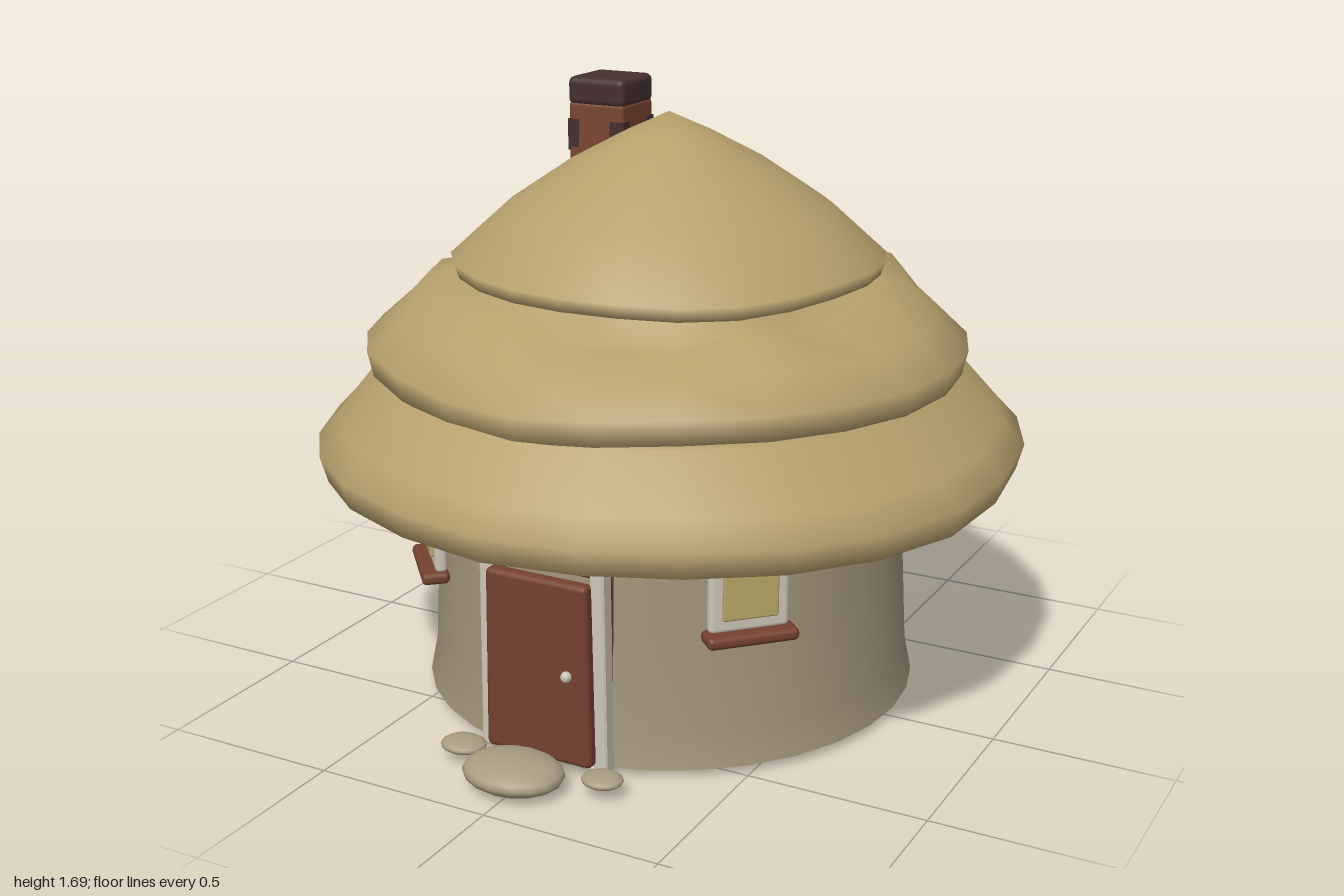
import * as THREE from 'three';
import { mergeVertices } from 'three/addons/utils/BufferGeometryUtils.js';
import { RoundedBoxGeometry } from 'three/addons/geometries/RoundedBoxGeometry.js';

const material = (name, color, side = THREE.FrontSide) => {
  const m = new THREE.MeshStandardMaterial({ color, side });
  m.name = name;
  return m;
};

const V = (r, y) => new THREE.Vector2(r, y);

// Repeatable value in -1..1 for a pair of integers
const noise = (a, b) => {
  const s = Math.sin(a * 12.9898 + b * 78.233) * 43758.5453;
  return (s - Math.floor(s)) * 2 - 1;
};

// Rectangular ring extruded along z
function ringGeometry(w, h, border, bottom, depth) {
  const rect = (P, x, y0, y1) => {
    const p = new P();
    p.moveTo(-x, y0); p.lineTo(x, y0);
    p.lineTo(x * 0.97, y1); p.lineTo(-x * 0.97, y1);
    p.closePath();
    return p;
  };
  const shape = rect(THREE.Shape, w / 2, 0, h);
  shape.holes.push(rect(THREE.Path, w / 2 - border, bottom, h - border));
  return new THREE.ExtrudeGeometry(shape, {
    depth, bevelEnabled: true, bevelSize: 0.005, bevelOffset: -0.005, bevelThickness: 0.005, bevelSegments: 1,
  });
}

// Thatch tier: a soft lathe whose rim sags unevenly; points are [r, y, wave, fold]
function tierGeometry(points, seed) {
  const sides = 24, n = points.length;
  const geo = new THREE.LatheGeometry(points.map(([r, y]) => V(r, y)), sides);
  const pos = geo.attributes.position;
  for (let i = 0; i < pos.count; i++) {
    const j = Math.floor(i / n) % sides;
    const [r, y, wave, fold] = points[i % n];
    const a = (j / sides) * Math.PI * 2;
    const sag = 0.6 * Math.sin(3 * a + seed) + 0.4 * Math.sin(5 * a + seed * 2.3);
    const dent = noise(j, seed);
    const radius = r + 0.008 * wave * noise(j, seed + 7) + 0.03 * fold * dent;
    pos.setXYZ(i, Math.sin(a) * radius, y + 0.016 * wave * sag + 0.045 * fold * dent, Math.cos(a) * radius);
  }
  geo.deleteAttribute('uv');
  geo.deleteAttribute('normal');
  const merged = mergeVertices(geo, 1e-4);
  merged.computeVertexNormals();
  return merged;
}

export function createModel() {
  const model = new THREE.Group();
  model.name = 'roundCottage';
  const thatch = material('thatch', 0xb59f6c, THREE.DoubleSide);
  const plaster = material('plaster', 0xa0937a, THREE.DoubleSide);
  const trim = material('pale trim', 0xcdc5b8);
  const wood = material('red brown wood', 0x74402f);
  const brick = material('brick', 0x7a4631);
  const soot = material('sooty brick', 0x45302f);
  const glass = material('warm glass', 0xb8a768);
  const stone = material('stone', 0xa89c82);

  const add = (parent, name, geo, mat, x = 0, y = 0, z = 0) => {
    const mesh = new THREE.Mesh(geo, mat);
    mesh.name = name;
    mesh.position.set(x, y, z);
    parent.add(mesh);
    return mesh;
  };
  const group = (name) => {
    const g = new THREE.Group();
    g.name = name;
    model.add(g);
    return g;
  };

  // Round wall, flared at the foot and open below
  add(model, 'wall', new THREE.LatheGeometry(
    [V(0.702, 0.03), V(0.682, 0.13), V(0.667, 0.4), V(0.654, 0.7), V(0.645, 0.86)], 32), plaster, 0, 0, -0.012);

  // Three thatch tiers, from the underside round the rim to the top
  const roof = group('roof');
  add(roof, 'lowerThatch', tierGeometry([
    [0.63, 0.755, 0, 0], [0.8, 0.72, 0.5, 0], [0.94, 0.685, 1, 0], [0.975, 0.685, 1, 0],
    [0.995, 0.757, 1, 0], [0.935, 0.82, 1, 0], [0.82, 0.955, 0.4, 0], [0.78, 0.965, 0, 0], [0.66, 0.95, 0, 0],
  ], 2), thatch);
  add(roof, 'middleThatch', tierGeometry([
    [0.64, 0.95, 0, 0], [0.79, 0.965, 1, 0], [0.825, 0.962, 1, 0],
    [0.84, 1.03, 1, 0], [0.75, 1.105, 0.4, 0.15], [0.645, 1.175, 0, 0.8], [0.58, 1.18, 0, 1], [0.5, 1.24, 0, 0],
  ], 5), thatch);
  add(roof, 'topThatch', tierGeometry([
    [0.48, 1.24, 0, 0], [0.56, 1.225, 0.6, 0], [0.588, 1.222, 0.6, 0], [0.6, 1.26, 0.6, 0],
    [0.45, 1.395, 0.2, 0], [0.27, 1.515, 0, 0], [0.12, 1.595, 0, 0], [0, 1.65, 0, 0],
  ], 3), thatch);

  // Chimney with sooty bricks set flush in its faces
  const chimney = group('chimney');
  chimney.position.set(-0.308, 0, -0.222);
  add(chimney, 'chimneyStack', new RoundedBoxGeometry(0.178, 0.4, 0.178, 2, 0.012), brick, 0, 1.43, 0);
  add(chimney, 'chimneyCap', new RoundedBoxGeometry(0.184, 0.082, 0.184, 3, 0.02), soot, 0, 1.66, 0);
  for (let i = 0; i < 4; i++) {
    const face = new THREE.Group();
    face.name = 'sootyBricks';
    face.rotation.y = (i * Math.PI) / 2;
    chimney.add(face);
    add(face, 'sootyBrick', new THREE.BoxGeometry(0.042, 0.09, 0.006), soot, 0.068, 1.535, 0.088);
    add(face, 'sootyBrick', new THREE.BoxGeometry(0.034, 0.08, 0.006), soot, -0.072, 1.54, 0.088);
    add(face, 'sootyBrick', new THREE.BoxGeometry(0.04, 0.05, 0.006), soot, -0.03, 1.46, 0.088);
  }

  // Door with pale surround, wooden jamb and knob
  const door = group('door');
  add(door, 'doorSurround', ringGeometry(0.385, 0.59, 0.042, 0.015, 0.035), trim, 0, 0.03, 0.668);
  add(door, 'doorJamb', ringGeometry(0.35, 0.54, 0.016, 0.016, 0.04), wood, 0, 0.03, 0.625);
  const panel = new RoundedBoxGeometry(0.312, 0.51, 0.044, 3, 0.016);
  const pp = panel.attributes.position;
  for (let i = 0; i < pp.count; i++) {
    const t = pp.getY(i) / 0.255;
    pp.setX(i, pp.getX(i) * (1 - 0.025 * t));
  }
  add(door, 'doorPanel', panel, wood, 0, 0.302, 0.716);
  add(door, 'doorKnob', new THREE.SphereGeometry(0.015, 12, 8), trim, 0.097, 0.305, 0.747);

  // Two windows facing outward beside the door, with the pane standing proud of a soft frame
  for (const [angle, radius] of [[0.8, 0.67], [-0.845, 0.678]]) {
    const win = group(angle > 0 ? 'leftWindow' : 'rightWindow');
    win.rotation.y = angle;
    win.position.set(Math.sin(angle) * radius, 0, Math.cos(angle) * radius);
    add(win, 'windowFrame', new RoundedBoxGeometry(0.22, 0.22, 0.036, 3, 0.016), trim, 0, 0.517, -0.006);
    add(win, 'windowGlass', new RoundedBoxGeometry(0.152, 0.155, 0.024, 2, 0.006), glass, 0, 0.523, 0.01);
    add(win, 'windowSill', new RoundedBoxGeometry(0.25, 0.034, 0.078, 2, 0.014), wood, 0, 0.398, 0.012);
  }

  // Stepping stones before the door
  for (const [x, y, z, rx, ry, rz] of [
    [-0.01, 0.053, 0.84, 0.142, 0.045, 0.112],
    [-0.21, 0.053, 0.77, 0.064, 0.019, 0.055],
    [0.215, 0.053, 0.77, 0.057, 0.018, 0.05],
  ]) {
    add(model, 'steppingStone', new THREE.SphereGeometry(1, 16, 10), stone, x, y, z).scale.set(rx, ry, rz);
  }
  return model;
}
